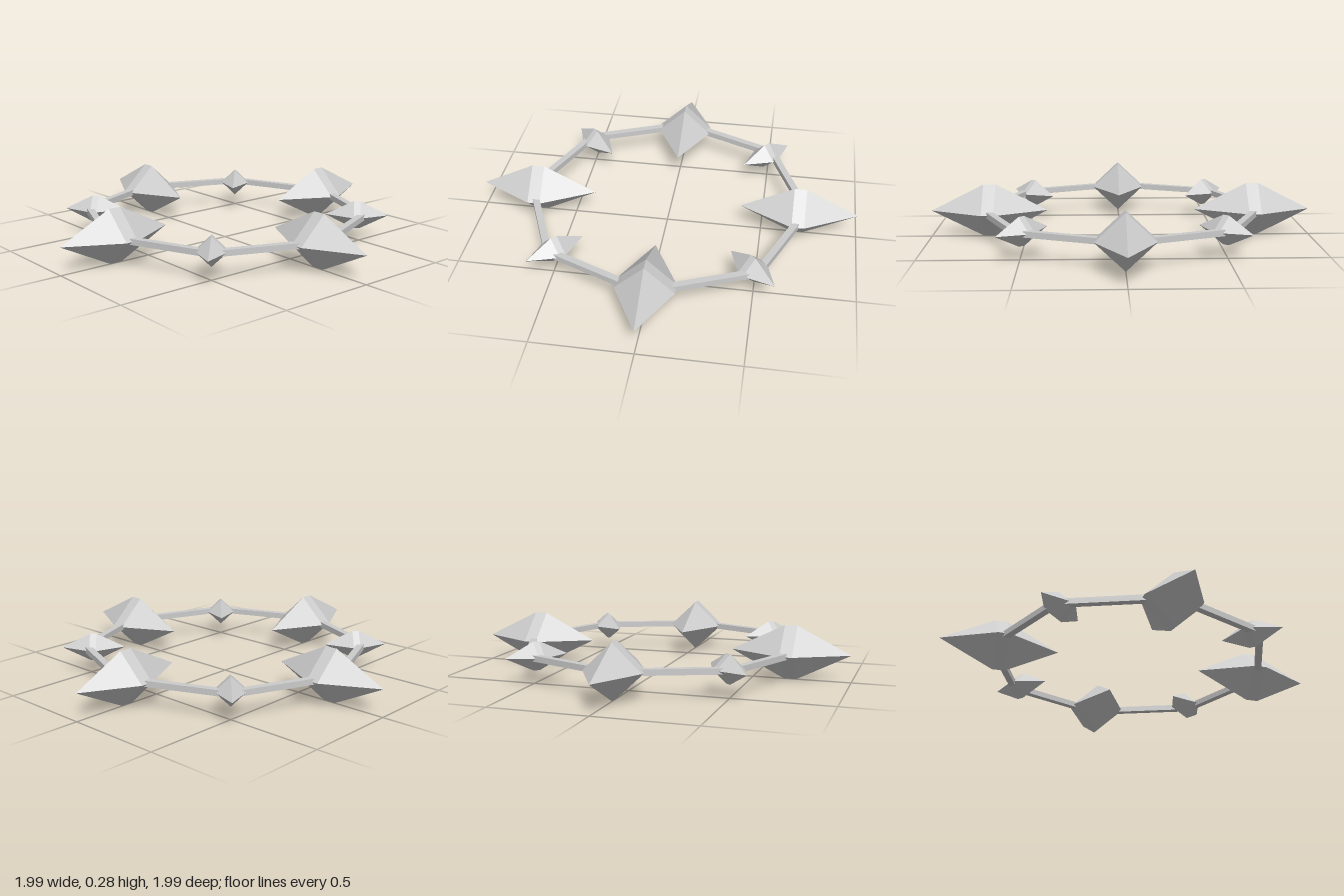
import * as THREE from 'three';

export function createModel() {
  const model = new THREE.Group();
  const grey = new THREE.MeshStandardMaterial({ color: 0xcccccc, flatShading: true });
  grey.name = 'light grey';
  const midHeight = 0.14;

  // Four-sided double-pointed crystal lying along x, with a short belt in the middle
  function crystal(name, halfLength, belt, halfHeight, halfWidth, angle) {
    const profile = [[0, -halfLength], [1, -belt], [1, belt], [0, halfLength]]
      .map(([r, y]) => new THREE.Vector2(r, y));
    const geometry = new THREE.LatheGeometry(profile, 4)
      .rotateZ(-Math.PI / 2)
      .scale(1, halfHeight, halfWidth)
      .translate(0.692, 0, 0);
    const mesh = new THREE.Mesh(geometry.toNonIndexed(), grey);
    mesh.name = name;
    mesh.rotation.y = angle;
    mesh.position.y = midHeight;
    model.add(mesh);
  }

  // Large and small crystals alternate around the ring
  for (let i = 0; i < 8; i++) {
    const angle = (i * Math.PI) / 4;
    if (i % 2 === 0) crystal('largeCrystal', 0.305, 0.032, 0.138, 0.146, angle);
    else crystal('smallCrystal', 0.163, 0.017, 0.073, 0.077, angle);
  }

  // Octagonal ring of square bars, with its corners inside the crystals
  const section = [[0.752, -0.015], [0.752, 0.015], [0.714, 0.015], [0.714, -0.015], [0.752, -0.015]]
    .map(([r, y]) => new THREE.Vector2(r, y));
  const ring = new THREE.Mesh(new THREE.LatheGeometry(section, 8).toNonIndexed(), grey);
  ring.name = 'connectingRing';
  ring.position.y = midHeight;
  model.add(ring);

  return model;
}
